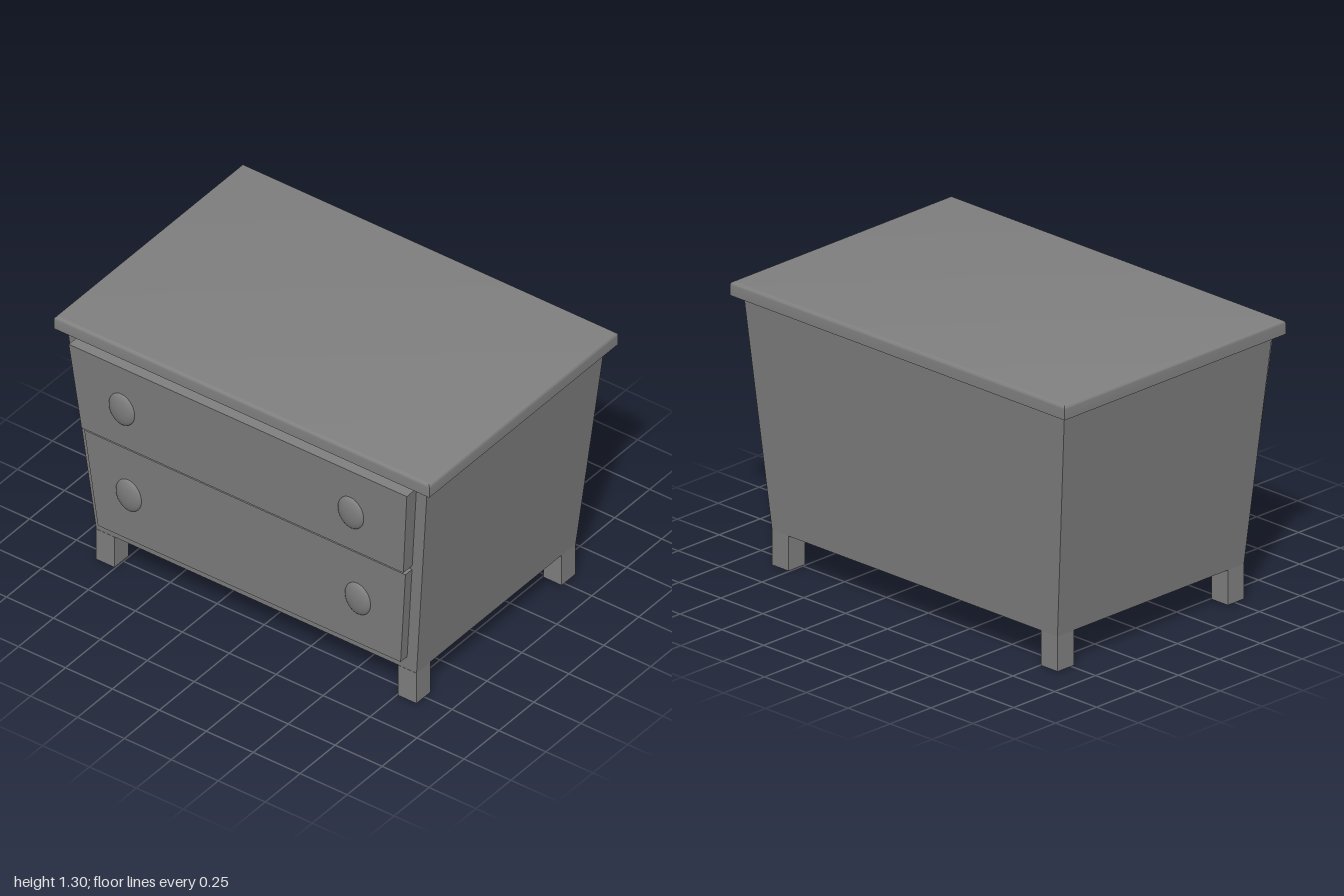
import * as THREE from 'three';
import { toCreasedNormals } from 'three/addons/utils/BufferGeometryUtils.js';

// Closed solid through stacked rectangles, bottom to top: [y, xMin, xMax, zHalf]
function rectangleLoft(rings) {
  const points = [], faces = [];
  for (const [y, x0, x1, z] of rings) points.push(x0, y, z, x1, y, z, x1, y, -z, x0, y, -z);
  const quad = (a, b, c, d) => faces.push(a, b, c, a, c, d);
  for (let r = 0; r < rings.length - 1; r++) {
    for (let i = 0; i < 4; i++) {
      const a = r * 4 + i, b = r * 4 + (i + 1) % 4;
      quad(a, b, b + 4, a + 4);
    }
  }
  quad(3, 2, 1, 0);
  const t = (rings.length - 1) * 4;
  quad(t, t + 1, t + 2, t + 3);
  const geometry = new THREE.BufferGeometry();
  geometry.setAttribute('position', new THREE.Float32BufferAttribute(points, 3));
  geometry.setIndex(faces);
  return toCreasedNormals(geometry, 0.6);
}

export function createModel() {
  const model = new THREE.Group();
  model.name = 'chest';
  const grey = new THREE.MeshStandardMaterial({ color: 0x808080 });
  grey.name = 'grey';

  const add = (name, geometry) => {
    const mesh = new THREE.Mesh(geometry, grey);
    mesh.name = name;
    model.add(mesh);
    return mesh;
  };

  // Flared body
  add('body', rectangleLoft([[0.162, -0.556, 0.583, 0.853], [1.235, -0.621, 0.648, 0.958]]));

  // Lid with a rounded upper edge
  const lidRings = [[1.235, -0.662, 0.689, 1]];
  const radius = 0.016;
  for (let i = 0; i <= 4; i++) {
    const a = (i / 4) * Math.PI / 2, inset = radius * (1 - Math.cos(a));
    lidRings.push([1.3 - radius + radius * Math.sin(a), -0.662 + inset, 0.689 - inset, 1 - inset]);
  }
  add('lid', rectangleLoft(lidRings));

  // Four short square legs, flush with the base of the body
  for (const x of [-0.507, 0.532]) {
    for (const z of [-0.804, 0.804]) {
      add('leg', new THREE.BoxGeometry(0.1, 0.162, 0.098)).position.set(x, 0.081, z);
    }
  }

  // Sloping drawer fronts on the -x side, narrowing like the body
  add('upperDrawer', rectangleLoft([[0.763, -0.656, -0.588, 0.857], [1.212, -0.689, -0.615, 0.9]]));
  add('lowerDrawer', rectangleLoft([[0.232, -0.607, -0.556, 0.806], [0.741, -0.638, -0.587, 0.855]]));

  // Flattened oval knobs, tilted with the drawer fronts
  for (const [x, y] of [[-0.671, 0.976], [-0.621, 0.484]]) {
    for (const z of [-0.63, 0.59]) {
      const knob = add('knob', new THREE.SphereGeometry(1, 32, 20));
      knob.scale.set(0.024, 0.086, 0.068);
      knob.rotation.z = 0.065;
      knob.position.set(x, y, z);
    }
  }
  return model;
}
